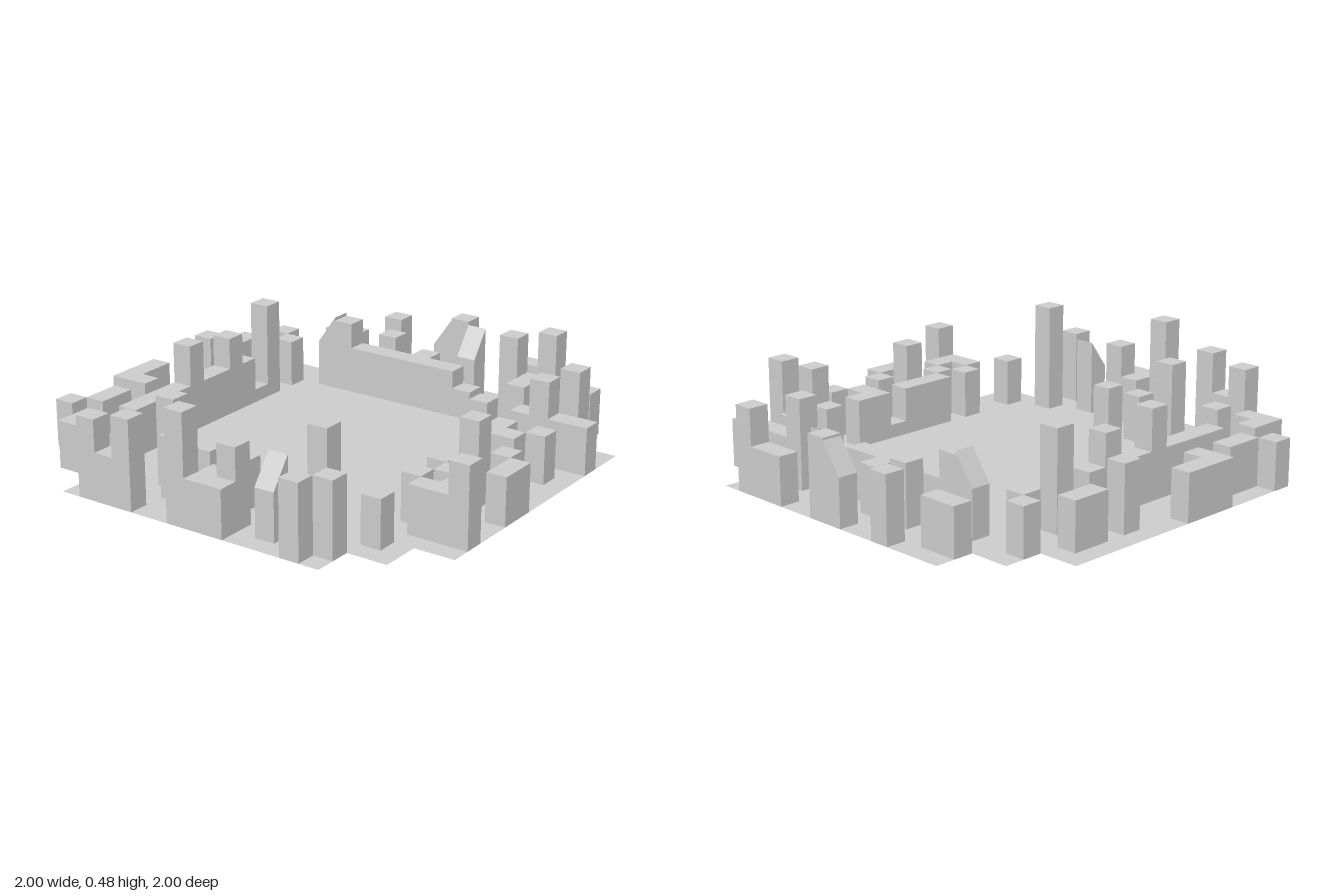
import * as THREE from 'three';
import { mergeGeometries } from 'three/addons/utils/BufferGeometryUtils.js';

// Plan of the city, back row first: space = outside, dot = open ground, letter = block height,
// '<' = roof falling to -x, 'v' = roof falling to +z
const PLAN = [
  '    ...f..<h..ddi.    ',
  '    dd......v.....    ',
  '  ......e.d....jdddd  ',
  '  d..<gddddddcb.d...  ',
  '...d..............d...',
  '.d..................k.',
  '.d.l..............didd',
  '...a..................',
  '.f.d..............d.d.',
  '...h..............dd..',
  '...d..............a...',
  'd..d..............d.d.',
  'd..j..............di.d',
  'dd.d..............d..d',
  '...d...............d..',
  '.d.d..............d.d.',
  '.d.d...............ddh',
  'd.....................',
  '  d....j.d.d......d.  ',
  '  dd.d..e.......m...  ',
  '    .......dh.v..g    ',
  '    .hdj..mdd...g.    ',
];
const HEIGHT = {
  a: 0.06, b: 0.1, c: 0.13, d: 0.21, e: 0.27, f: 0.29, g: 0.325,
  h: 0.35, i: 0.37, j: 0.39, k: 0.405, l: 0.43, m: 0.48, '<': 0.34, v: 0.335,
};
const EAVES = 0.21;
const N = PLAN.length;
const CELL = 2 / N;

const at = (col, row) => PLAN[row]?.[col] ?? ' ';
const isSloped = (c) => c === '<' || c === 'v';
// Height up to which a cell fully hides its neighbour's wall
const cover = (col, row) => {
  const c = at(col, row);
  return isSloped(c) ? EAVES : HEIGHT[c] ?? 0;
};
const centre = (k) => -1 + (k + 0.5) * CELL;

// Open-bottomed block; walls against an equal or taller neighbour are left out
function blockGeometry(col, row) {
  const c = at(col, row);
  const h = HEIGHT[c];
  const g = new THREE.BoxGeometry(CELL, h, CELL).translate(0, h / 2, 0);
  const p = g.attributes.position;
  if (isSloped(c)) {
    for (let i = 0; i < p.count; i++) {
      const low = c === '<' ? p.getX(i) < 0 : p.getZ(i) > 0;
      if (p.getY(i) > 0 && low) p.setY(i, EAVES);
    }
  }
  // Box face order: +x, -x, +y, -y, +z, -z
  const keep = [
    cover(col + 1, row) < h, cover(col - 1, row) < h, true,
    false, cover(col, row + 1) < h, cover(col, row - 1) < h,
  ];
  const index = Array.from(g.index.array).filter((_, i) => keep[Math.floor(i / 6)]);
  g.setIndex(index);
  g.clearGroups();
  g.computeVertexNormals();
  return g.translate(centre(col), 0, centre(row));
}

export function createModel() {
  const model = new THREE.Group();
  model.name = 'cityBlock';
  const material = new THREE.MeshStandardMaterial({
    color: 0xcccccc, flatShading: true, side: THREE.DoubleSide,
  });

  // Sort the cells into ground and the four sides of the ring of buildings
  const parts = { ground: [], backBuildings: [], frontBuildings: [], leftBuildings: [], rightBuildings: [] };
  for (let row = 0; row < N; row++) {
    for (let col = 0; col < N; col++) {
      const c = at(col, row);
      if (c === ' ') continue;
      if (c === '.') {
        parts.ground.push(new THREE.PlaneGeometry(CELL, CELL)
          .rotateX(-Math.PI / 2).translate(centre(col), 0, centre(row)));
        continue;
      }
      const side = row < 4 ? 'back' : row > 17 ? 'front' : col > 10 ? 'left' : 'right';
      parts[side + 'Buildings'].push(blockGeometry(col, row));
    }
  }

  for (const [name, geometries] of Object.entries(parts)) {
    const mesh = new THREE.Mesh(mergeGeometries(geometries), material);
    mesh.name = name;
    model.add(mesh);
  }
  return model;
}
